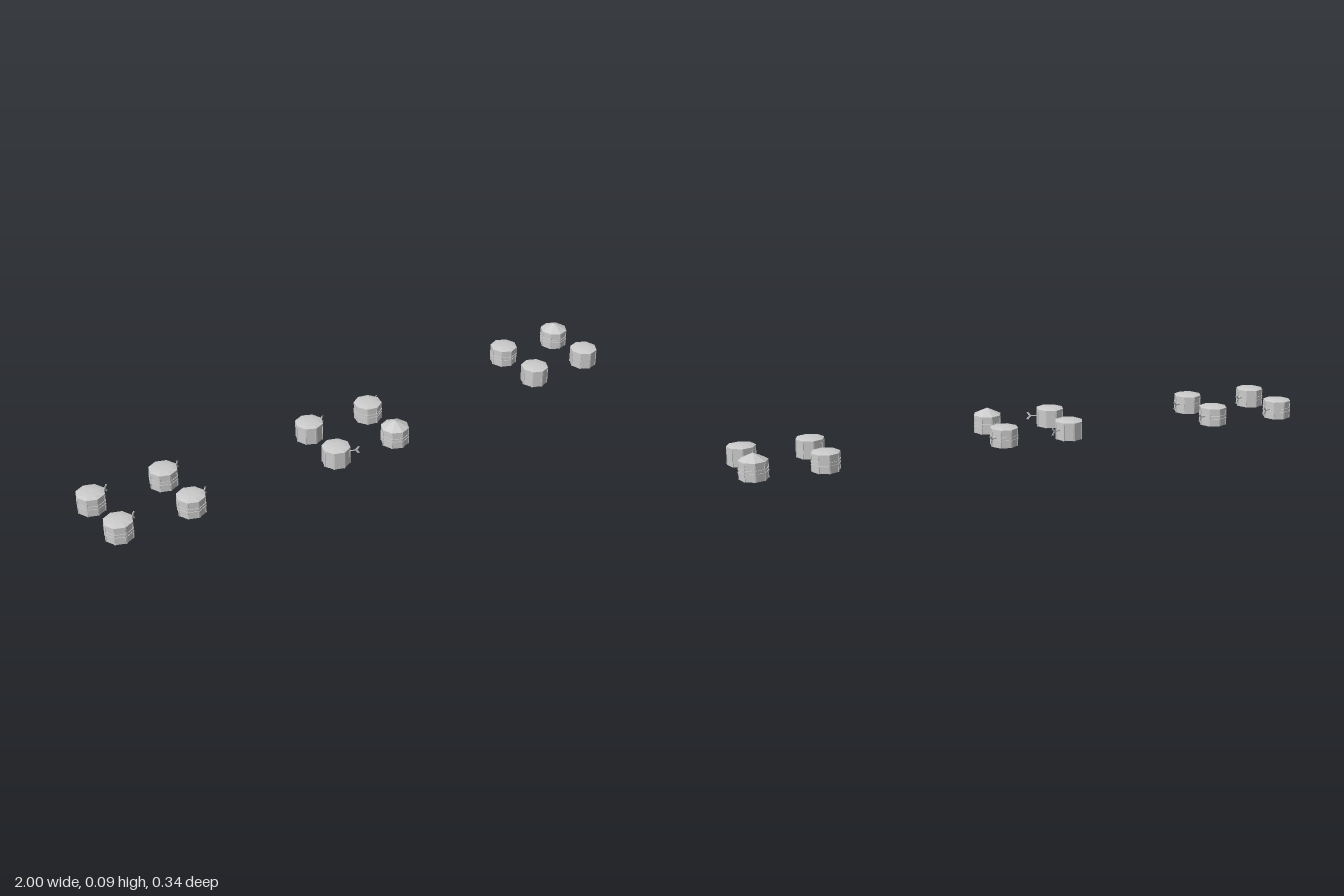
import * as THREE from 'three';

const SIDES = 8;
const material = new THREE.MeshStandardMaterial({
  color: 0xcccccc, flatShading: true, side: THREE.DoubleSide });

function add(parent, name, geometry) {
  const mesh = new THREE.Mesh(geometry, material);
  mesh.name = name;
  parent.add(mesh);
  return mesh;
}

// Eight-sided solid of revolution with a flat side facing +x
function octagonal(points) {
  return new THREE.LatheGeometry(points.map(([r, y]) => new THREE.Vector2(r, y)), SIDES)
    .rotateY(Math.PI / 8);
}

// Closed band running around the wall
function band(y, height, outer) {
  const a = y - height / 2, b = y + height / 2;
  return octagonal([[0.044, a], [outer, a], [outer, b], [0.044, b]]);
}

// Thin forked vane that stands out of the wall along +x
function vaneGeometry() {
  const half = [[0.042, 0.0016], [0.066, 0.0016], [0.076, 0.014], [0.082, 0.011], [0.073, 0]];
  const outline = [...half, ...half.slice(0, -1).reverse().map(([x, y]) => [x, -y])];
  const shape = new THREE.Shape(outline.map(([x, y]) => new THREE.Vector2(x, y)));
  return new THREE.ExtrudeGeometry(shape, { depth: 0.002, bevelEnabled: false })
    .translate(0, 0.035, -0.001);
}

function createHut({ x, z, turn, peaked, banded, vane }) {
  const hut = new THREE.Group();
  hut.name = 'hut';
  hut.position.set(x, 0, z);
  hut.rotation.y = turn;

  add(hut, 'wall', octagonal([[0, 0], [0.047, 0], [0.047, 0.06], [0, 0.06]]));

  // Slim posts on the corners
  for (let i = 0; i < SIDES; i++) {
    const angle = (i + 0.5) * Math.PI / 4;
    const post = add(hut, 'cornerPost', new THREE.BoxGeometry(0.003, 0.055, 0.005));
    post.position.set(Math.cos(angle) * 0.0465, 0.0275, -Math.sin(angle) * 0.0465);
    post.rotation.y = angle;
  }

  add(hut, 'eave', band(0.0575, 0.009, 0.0485));

  // Pointed roof or shallow dome
  add(hut, 'roof', octagonal(peaked
    ? [[0.0485, 0.062], [0.024, 0.074], [0, 0.085]]
    : [[0.0485, 0.062], [0.034, 0.0655], [0.018, 0.0675], [0, 0.068]]));

  if (banded) {
    for (const y of [0.024, 0.035]) add(hut, 'wallBand', band(y, 0.005, 0.0495));
  }
  if (vane) add(hut, 'vane', vaneGeometry());
  return hut;
}

export function createModel() {
  const model = new THREE.Group();
  model.name = 'hutVillage';
  // x, z, turn, peaked, banded, vane
  const huts = [
    [-0.953, -0.068, 0.46, 0, 1, 1],
    [-0.697, -0.068, 0.46, 0, 1, 1],
    [-0.943, 0.114, 0.46, 0, 1, 1],
    [-0.69, 0.114, 0.46, 0, 1, 1],
    [-0.153, -0.054, 0.4, 0, 0, 1],
    [0.083, -0.054, 0.6, 0, 1, 1],
    [-0.155, 0.122, -0.29, 0, 0, 1],
    [0.078, 0.123, 0.4, 1, 1, 0],
    [0.715, -0.118, 0.4, 0, 1, 0],
    [0.949, -0.122, 0.3, 1, 1, 0],
    [0.722, 0.057, 0.4, 0, 0, 0],
    [0.951, 0.05, 0.3, 0, 0, 0],
  ];
  for (const [x, z, turn, peaked, banded, vane] of huts) {
    model.add(createHut({ x, z, turn, peaked, banded, vane }));
  }
  return model;
}
